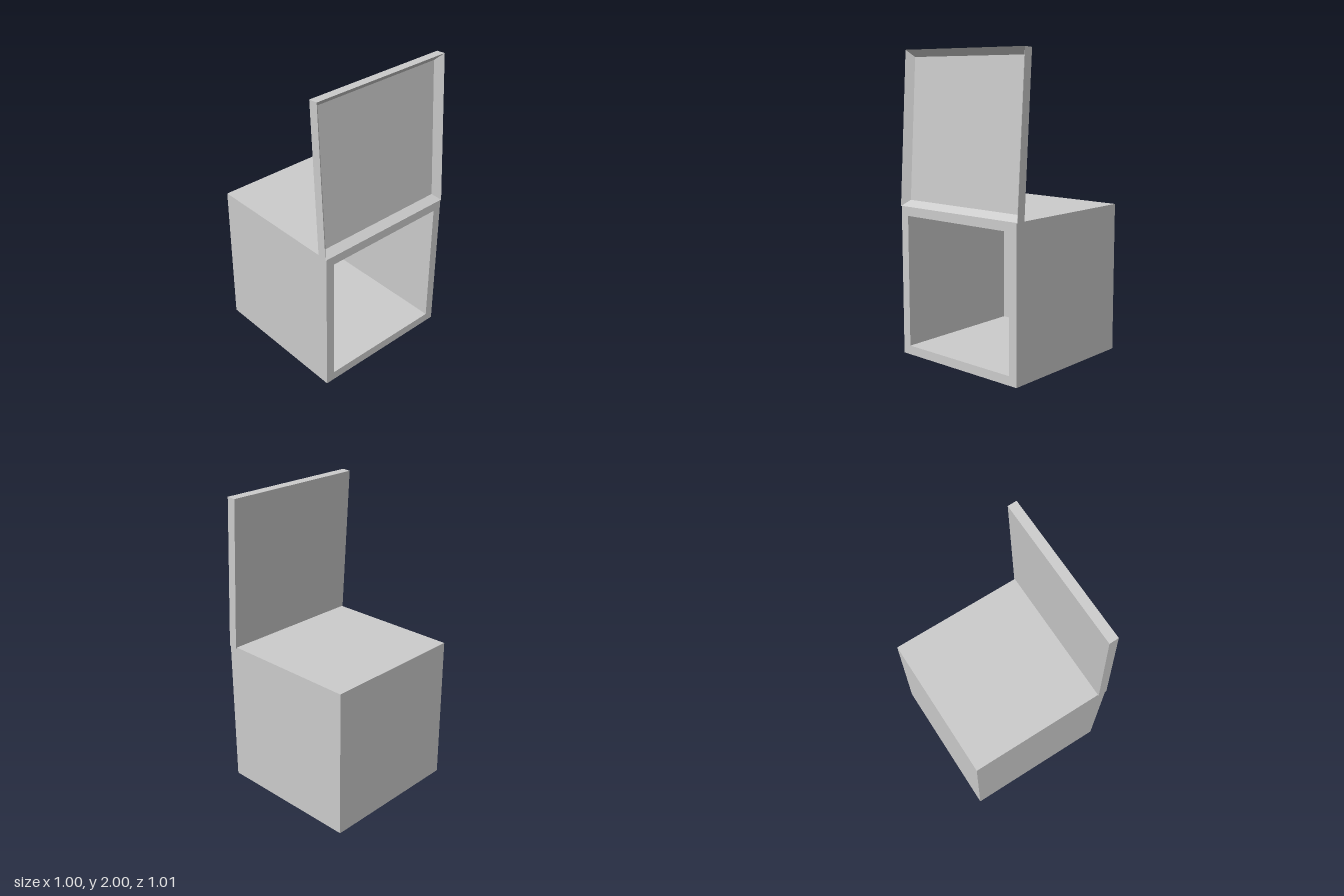
import * as THREE from 'three';

const material = new THREE.MeshStandardMaterial({ color: 0xcccccc, flatShading: true });

// Closed square tray opening toward +x. Each profile entry is [x, half height, half width],
// running from the outer back, round the rim and down to the inner floor.
function tray(name, profile) {
  const rings = profile.map(([x, h, w]) =>
    [[h, w], [-h, w], [-h, -w], [h, -w]].map(([y, z]) => [x, y, z]));
  const points = [];
  const quad = (a, b, c, d) => points.push(...a, ...b, ...c, ...a, ...c, ...d);

  // Outer walls, rim and inner walls
  for (let r = 0; r < rings.length - 1; r++) {
    for (let i = 0; i < 4; i++) {
      const j = (i + 1) % 4;
      quad(rings[r][i], rings[r][j], rings[r + 1][j], rings[r + 1][i]);
    }
  }
  // Back panel and inner floor
  quad(...[...rings[0]].reverse());
  quad(...rings[rings.length - 1]);

  const geometry = new THREE.BufferGeometry();
  geometry.setAttribute('position', new THREE.Float32BufferAttribute(points, 3));
  geometry.computeVertexNormals();
  const mesh = new THREE.Mesh(geometry, material);
  mesh.name = name;
  return mesh;
}

export function createModel() {
  const model = new THREE.Group();
  model.name = 'openBox';

  // Hollow cube with an even wall, open on its left side
  const half = 0.4975, inner = 0.4375;
  const body = tray('boxBody', [
    [-half, half, half], [half, half, half], [half, inner, inner], [-inner, inner, inner],
  ]);
  body.position.y = half;
  model.add(body);

  // Shallow lid with sloping inner walls, swung up about the top edge of the opening
  const lidHalf = 0.505, lidInner = 0.462, thickness = 0.061;
  const lid = tray('lid', [
    [-thickness, lidHalf, lidHalf], [0, lidHalf, lidHalf], [0.015 - thickness, lidInner, lidInner],
  ]);
  lid.position.y = lidHalf;
  const hinge = new THREE.Group();
  hinge.name = 'lidHinge';
  hinge.position.set(half, 0.993, 0);
  hinge.rotation.z = THREE.MathUtils.degToRad(3.6);
  hinge.add(lid);
  model.add(hinge);

  return model;
}
